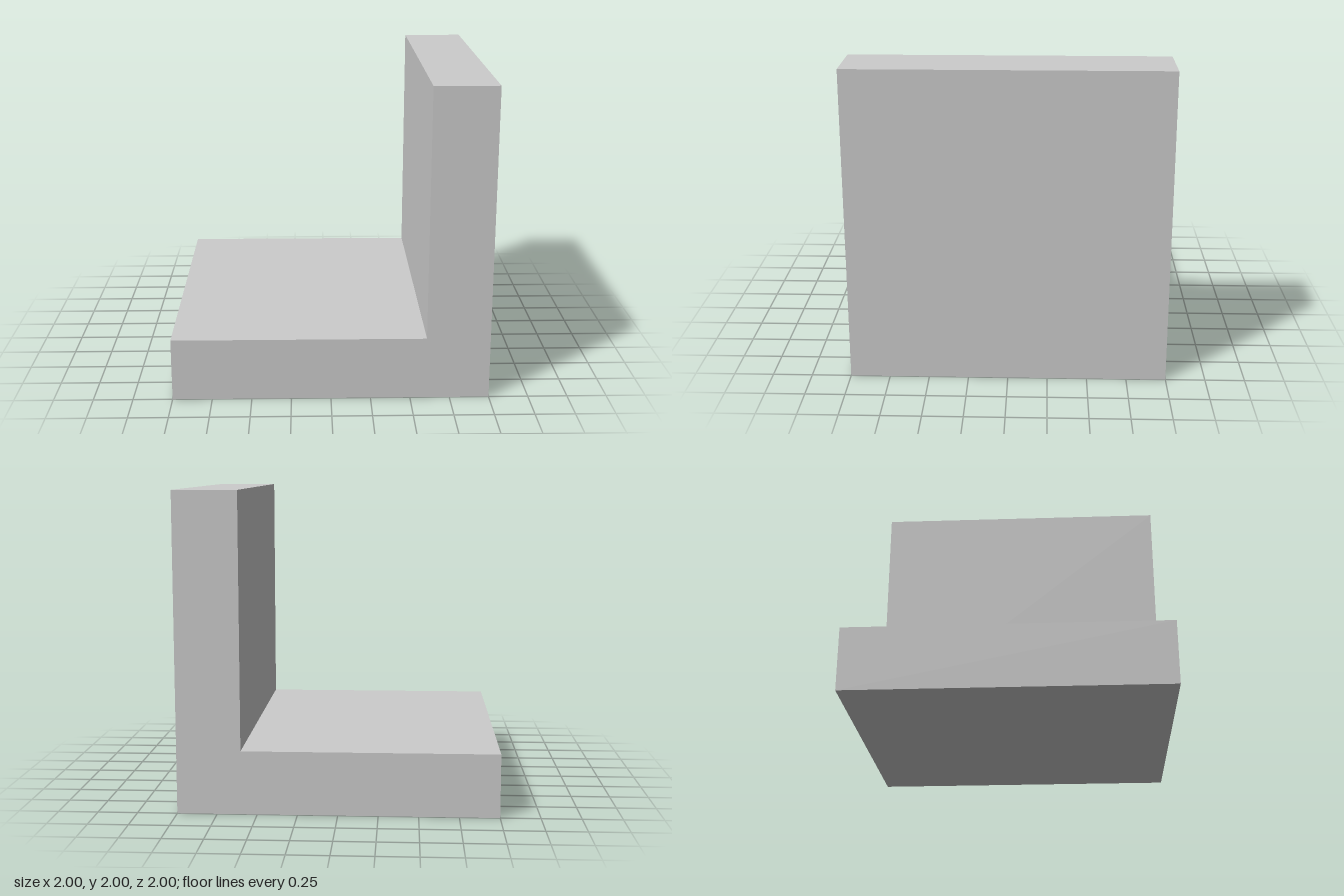
import * as THREE from 'three';

const SIZE = 2; // overall width, height and depth
const THICKNESS = 0.4; // of both the base and the wall

export function createModel() {
  const group = new THREE.Group();
  group.name = 'angleBracket';

  // L-shaped section: base along the floor, wall rising at +x
  const half = SIZE / 2;
  const section = new THREE.Shape([
    [-half, 0],
    [half, 0],
    [half, SIZE],
    [half - THICKNESS, SIZE],
    [half - THICKNESS, THICKNESS],
    [-half, THICKNESS],
  ].map(([x, y]) => new THREE.Vector2(x, y)));

  // Base and wall are one solid, extruded along z
  const geometry = new THREE.ExtrudeGeometry(section, { depth: SIZE, bevelEnabled: false });
  geometry.translate(0, 0, -half);

  const material = new THREE.MeshStandardMaterial({ color: 0xcccccc, flatShading: true });
  const bracket = new THREE.Mesh(geometry, material);
  bracket.name = 'baseAndWall';
  group.add(bracket);
  return group;
}
